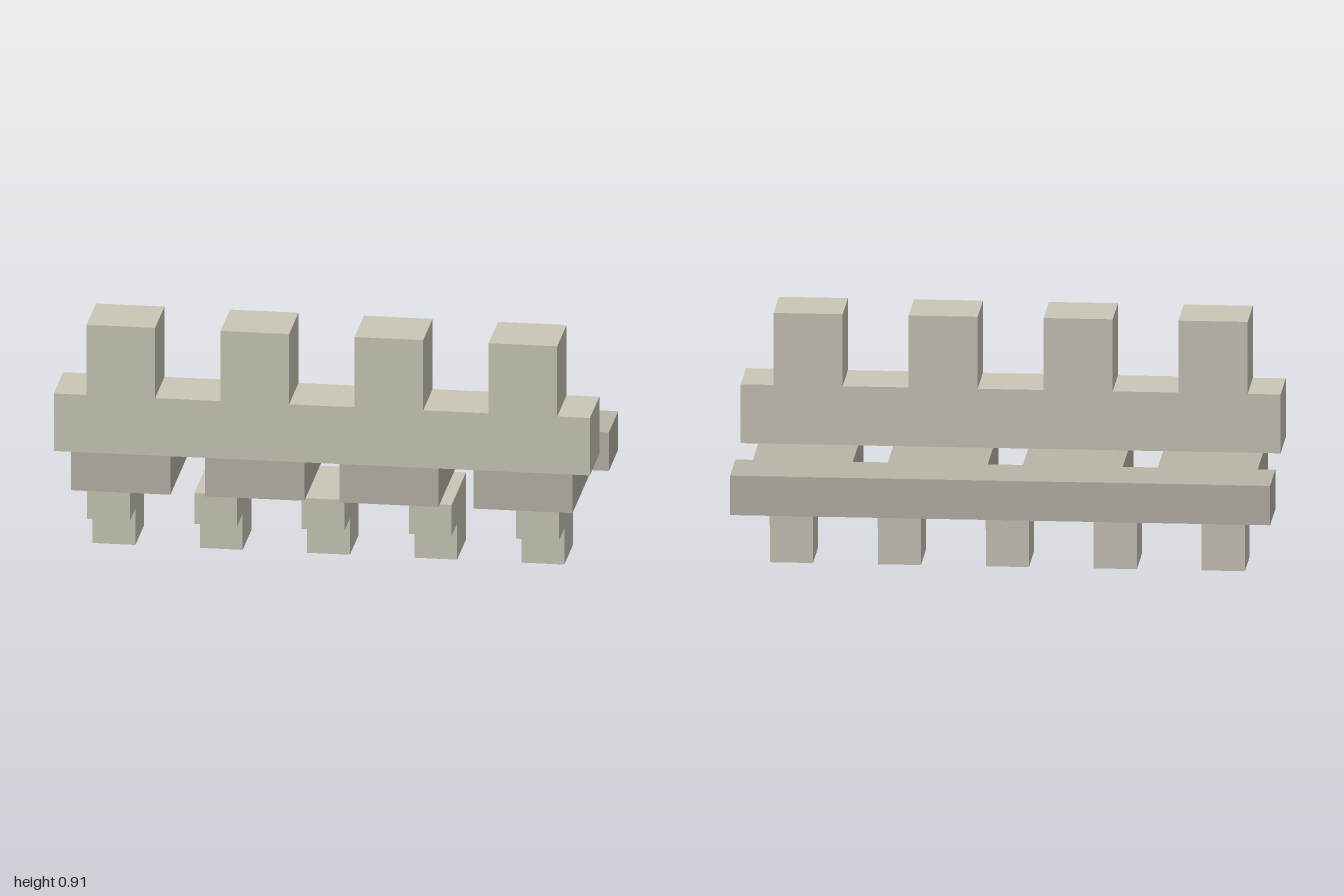
import * as THREE from 'three';

const paleStone = new THREE.MeshStandardMaterial({ color: 0xcac6b7, flatShading: true });
const darkStone = new THREE.MeshStandardMaterial({ color: 0xb9b4a8, flatShading: true });

const FRONT = 0.372;
const STEP = 0.125; // inner face of the parapet and back edge of the floor slots

function extrude(points, depth) {
  const shape = new THREE.Shape(points.map(([x, y]) => new THREE.Vector2(x, y)));
  return new THREE.ExtrudeGeometry(shape, { depth, bevelEnabled: false });
}

function add(group, name, geometry, material) {
  const mesh = new THREE.Mesh(geometry, material);
  mesh.name = name;
  group.add(mesh);
  return mesh;
}

export function createModel() {
  const model = new THREE.Group();
  model.name = 'battlement';

  // Walkway floor: full-width back strip with four tongues reaching forward
  const outline = [[1, -FRONT], [1, -STEP]];
  for (const x of [0.75, 0.25, -0.25, -0.75]) {
    outline.push([x + 0.185, -STEP], [x + 0.185, FRONT], [x - 0.185, FRONT], [x - 0.185, -STEP]);
  }
  outline.push([-1, -STEP], [-1, -FRONT]);
  const floor = add(model, 'walkwayFloor', extrude(outline, 0.15).rotateX(Math.PI / 2), darkStone);
  floor.position.y = 0.412;

  // Parapet wall and merlons cut as one profile
  const profile = [[-1, 0.412], [1, 0.412], [1, 0.636]];
  for (const x of [0.75, 0.25, -0.25, -0.75]) {
    profile.push([x + 0.128, 0.636], [x + 0.128, 0.91], [x - 0.128, 0.91], [x - 0.128, 0.636]);
  }
  profile.push([-1, 0.636]);
  const parapet = add(model, 'parapet', extrude(profile, FRONT - STEP), paleStone);
  parapet.position.z = STEP;

  // Stepped corbels under the floor
  const corbelSide = [
    [-0.031, 0], [0.198, 0], [0.198, 0.142], [0.342, 0.142],
    [0.342, 0.262], [-0.036, 0.262], [-0.036, 0.142], [-0.031, 0.142],
  ];
  const corbelGeometry = extrude(corbelSide, 0.16).rotateY(-Math.PI / 2);
  for (let i = -2; i <= 2; i++) {
    const corbel = add(model, 'corbel', corbelGeometry, paleStone);
    corbel.position.x = i * 0.4 + 0.08;
  }

  return model;
}
